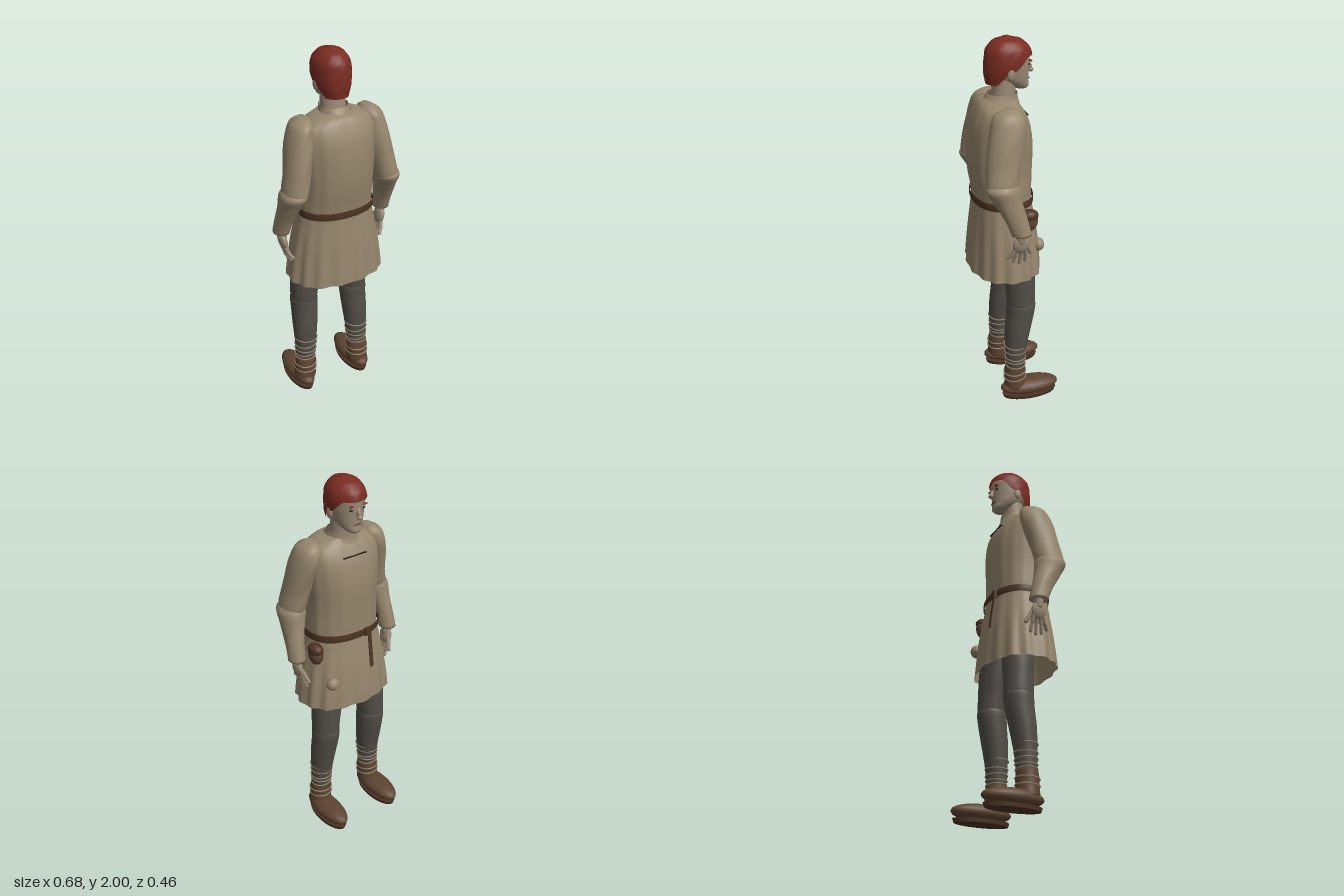
import * as THREE from 'three';

const { lerp, smoothstep } = THREE.MathUtils;
const mat = (name, color, side = THREE.FrontSide) => {
  const m = new THREE.MeshStandardMaterial({ color, side });
  m.name = name;
  return m;
};

// Closed-around surface from fn(angle, t) -> [x, y, z], t running upwards
function surface(fn, nu, nv, capBottom = false, capTop = false) {
  const pos = [], idx = [];
  for (let j = 0; j <= nv; j++)
    for (let i = 0; i < nu; i++) pos.push(...fn((i / nu) * Math.PI * 2, j / nv));
  for (let j = 0; j < nv; j++)
    for (let i = 0; i < nu; i++) {
      const k = (i + 1) % nu, a = j * nu + i, b = j * nu + k;
      idx.push(a, a + nu, b, b, a + nu, b + nu);
    }
  const cap = (row, up) => {
    const c = [0, 0, 0];
    for (let i = 0; i < nu; i++)
      for (let d = 0; d < 3; d++) c[d] += pos[(row * nu + i) * 3 + d] / nu;
    const n = pos.length / 3;
    pos.push(...c);
    for (let i = 0; i < nu; i++) {
      const a = row * nu + i, b = row * nu + ((i + 1) % nu);
      if (up) idx.push(n, b, a); else idx.push(n, a, b);
    }
  };
  if (capBottom) cap(0, false);
  if (capTop) cap(nv, true);
  const g = new THREE.BufferGeometry();
  g.setAttribute('position', new THREE.Float32BufferAttribute(pos, 3));
  g.setIndex(idx);
  g.computeVertexNormals();
  return g;
}

// Smooth interpolation through rings [y, cx, cz, rx, rz]
function sample(rings, t) {
  const n = rings.length - 1, f = Math.min(t * n, n - 1e-6), i = Math.floor(f), u = f - i;
  const at = (k) => rings[Math.max(0, Math.min(n, k))];
  return rings[0].map((_, d) => {
    const a = at(i - 1)[d], b = at(i)[d], c = at(i + 1)[d], e = at(i + 2)[d];
    return b + 0.5 * u * (c - a + u * (2 * a - 5 * b + 4 * c - e + u * (3 * (b - c) + e - a)));
  });
}
const pw = (v, n) => Math.sign(v) * Math.abs(v) ** (2 / n);

function loft(rings, { n = 2, nu = 32, steps = 5, caps = [true, true], scale = () => 1 } = {}) {
  return surface((a, t) => {
    const [y, cx, cz, rx, rz] = sample(rings, t), s = scale(a, y);
    return [cx + rx * s * pw(Math.cos(a), n), y, cz + rz * s * pw(Math.sin(a), n)];
  }, nu, (rings.length - 1) * steps, ...caps);
}

export function createModel() {
  const root = new THREE.Group();
  root.name = 'tunicFigure';
  const cloth = mat('tunic cloth', 0x95856c, THREE.DoubleSide);
  const skin = mat('skin', 0x9a8a76);
  const hairM = mat('red hair', 0x7a2c21, THREE.DoubleSide);
  const wool = mat('grey wool', 0x524e48);
  const shoeM = mat('brown leather', 0x5e4431);
  const beltM = mat('dark leather', 0x4c3323, THREE.DoubleSide);
  const cord = mat('pale cord', 0x8f7f6a);
  const dark = mat('dark detail', 0x2b2420);

  const add = (name, geo, m, parent = root) => {
    const mesh = new THREE.Mesh(geo, m);
    mesh.name = name;
    parent.add(mesh);
    return mesh;
  };
  const ball = (name, m, c, r, parent = root) => {
    const b = add(name, new THREE.SphereGeometry(1, 24, 16), m, parent);
    b.position.set(...c);
    b.scale.set(...r);
    return b;
  };
  const rod = (name, m, p, q, r, parent = root) => {
    const a = new THREE.Vector3(...p), d = new THREE.Vector3(...q).sub(a), len = d.length();
    const c = add(name, new THREE.CapsuleGeometry(r, len, 5, 10), m, parent);
    c.position.copy(a).addScaledVector(d, 0.5);
    c.quaternion.setFromUnitVectors(new THREE.Vector3(0, 1, 0), d.normalize());
    return c;
  };

  // Tunic with pleated skirt
  const pleats = (a, y) => {
    const k = 1 - smoothstep(y, 0.8, 1.15);
    return 1 + (0.006 + 0.018 * k) * Math.sin(15 * a + 0.6) + (0.004 + 0.008 * k) * Math.sin(8 * a + y * 3);
  };
  add('tunic', loft([
    [0.77, 0, 0.035, 0.262, 0.187], [0.87, 0, 0.034, 0.25, 0.18], [1.0, 0, 0.035, 0.23, 0.168],
    [1.16, 0, 0.04, 0.198, 0.148], [1.22, 0, 0.043, 0.195, 0.15], [1.33, 0, 0.05, 0.193, 0.16],
    [1.46, 0, 0.05, 0.2, 0.162], [1.57, 0, 0.052, 0.205, 0.148], [1.64, 0, 0.055, 0.195, 0.12],
    [1.68, 0, 0.055, 0.135, 0.095], [1.695, 0, 0.04, 0.08, 0.08],
  ], { n: 2.3, nu: 120, caps: [false, false], scale: pleats }), cloth);
  add('collar', loft([[1.665, 0, 0.045, 0.105, 0.1], [1.69, 0, 0.04, 0.082, 0.088], [1.72, 0, 0.03, 0.073, 0.075]],
    { nu: 40, caps: [false, false] }), cloth);
  add('neckSlit', new THREE.BoxGeometry(0.14, 0.005, 0.009), dark).position.set(0, 1.61, -0.081);
  ball('skirtKnob', cloth, [0.165, 0.93, -0.115], [0.035, 0.035, 0.03]);

  // Belt, hanging strap and pouch
  add('belt', loft([[1.155, 0, 0.04, 0.207, 0.157], [1.175, 0, 0.04, 0.209, 0.159], [1.195, 0, 0.04, 0.205, 0.157]],
    { n: 2.3, nu: 64, steps: 2, caps: [false, false] }), beltM);
  add('buckle', new THREE.BoxGeometry(0.035, 0.045, 0.012), beltM).position.set(-0.055, 1.175, -0.118);
  const strap = rod('beltEnd', beltM, [-0.065, 1.17, -0.122], [-0.065, 0.98, -0.146], 0.012);
  strap.scale.z = 0.35;
  ball('pouch', shoeM, [0.22, 1.1, -0.045], [0.036, 0.058, 0.046]);
  ball('pouchFlap', beltM, [0.222, 1.13, -0.046], [0.037, 0.033, 0.047]);

  // Neck and head, facing -z
  const head = new THREE.Group();
  head.name = 'head';
  root.add(head);
  add('neck', loft([[1.64, 0, 0.035, 0.07, 0.065], [1.72, 0, 0.025, 0.064, 0.06], [1.81, 0, 0.015, 0.062, 0.06]]), skin, head);
  add('face', loft([
    [1.732, 0, -0.07, 0.016, 0.02], [1.745, 0, -0.058, 0.04, 0.046], [1.78, 0, -0.025, 0.065, 0.077],
    [1.82, 0, -0.005, 0.078, 0.099], [1.87, 0, 0, 0.086, 0.107], [1.92, 0, 0, 0.086, 0.105],
    [1.965, 0, 0, 0.06, 0.075], [1.985, 0, 0, 0.02, 0.025],
  ]), skin, head);
  const nose = ball('nose', skin, [0, 1.84, -0.109], [0.011, 0.032, 0.014], head);
  nose.rotation.x = 0.3;
  ball('noseTip', skin, [0, 1.823, -0.115], [0.014, 0.011, 0.016], head);
  ball('mouth', shoeM, [0, 1.783, -0.1], [0.024, 0.005, 0.008], head);
  ball('chin', skin, [0, 1.752, -0.088], [0.024, 0.016, 0.016], head);
  for (const s of [1, -1]) {
    ball('eye', dark, [s * 0.035, 1.86, -0.096], [0.013, 0.006, 0.006], head);
    const brow = ball('eyebrow', hairM, [s * 0.036, 1.88, -0.1], [0.02, 0.005, 0.007], head);
    brow.rotation.y = s * 0.35;
    ball('ear', skin, [s * 0.087, 1.83, 0.01], [0.011, 0.033, 0.02], head);
  }

  // Hair: a cap with its lower edge short at the fringe and long at the nape
  const hairRings = [
    [1.77, 0, 0.038, 0.072, 0.078], [1.82, 0, 0.014, 0.09, 0.11], [1.88, 0, 0.002, 0.097, 0.121],
    [1.94, 0, 0.002, 0.089, 0.112], [1.98, 0, 0.005, 0.06, 0.075], [2.0, 0, 0.01, 0.014, 0.018],
  ];
  const hairAt = (y) => {
    let i = 0;
    while (i < hairRings.length - 2 && y > hairRings[i + 1][0]) i++;
    const u = (y - hairRings[i][0]) / (hairRings[i + 1][0] - hairRings[i][0]);
    return sample(hairRings, (i + u) / (hairRings.length - 1));
  };
  add('hair', surface((a, t) => {
    const f = -Math.sin(a);
    const edge = f > 0 ? lerp(1.84, 1.905, smoothstep(f, 0.1, 0.75)) : lerp(1.84, 1.77, smoothstep(-f, 0, 0.5));
    const y = lerp(edge, 2, 1 - (1 - t) ** 1.6);
    const [, , cz, rx, rz] = hairAt(y);
    const s = 1 + 0.013 * Math.sin(9 * a + y * 40) * Math.sin(y * 55 + 2 * a);
    return [rx * s * Math.cos(a), y, cz + rz * s * Math.sin(a)];
  }, 64, 24, false, true), hairM, head);

  for (const s of [1, -1]) {
    const mirror = (rings) => rings.map(([y, cx, cz, rx, rz]) => [y, s * cx, cz, rx, rz]);
    const side = s > 0 ? 'left' : 'right';
    const arm = new THREE.Group(), leg = new THREE.Group();
    arm.name = side + 'Arm';
    leg.name = side + 'Leg';
    root.add(arm, leg);

    // Sleeves
    const crease = (a, y) => 1 + 0.018 * Math.sin(5 * a + y * 30);
    add('upperSleeve', loft(mirror([
      [1.29, 0.258, 0.11, 0.055, 0.07], [1.33, 0.255, 0.108, 0.066, 0.082], [1.42, 0.237, 0.095, 0.066, 0.086],
      [1.52, 0.218, 0.075, 0.069, 0.092], [1.6, 0.202, 0.058, 0.066, 0.092], [1.66, 0.187, 0.052, 0.056, 0.076],
      [1.69, 0.178, 0.048, 0.022, 0.035],
    ]), { scale: crease }), cloth, arm);
    add('lowerSleeve', loft(mirror([
      [1.065, 0.295, 0.018, 0.044, 0.05], [1.15, 0.288, 0.045, 0.047, 0.058], [1.25, 0.273, 0.085, 0.06, 0.074],
      [1.31, 0.264, 0.108, 0.071, 0.086], [1.34, 0.26, 0.108, 0.058, 0.07],
    ]), { scale: crease }), cloth, arm);

    // Hand with spread fingers
    rod('wrist', skin, [s * 0.297, 1.08, 0.018], [s * 0.292, 1.03, 0.018], 0.026, arm);
    const palm = ball('palm', skin, [s * 0.289, 1.005, 0.02], [0.021, 0.05, 0.042], arm);
    palm.rotation.z = -s * 0.2;
    [[0.045, 0.08, 0.925], [0.03, 0.05, 0.9], [0.012, 0.018, 0.89], [-0.006, -0.012, 0.9]].forEach(([z0, z1, y]) => {
      rod('finger', skin, [s * 0.287, 0.985, z0], [s * 0.275, 0.945, (z0 + z1) / 2], 0.0105, arm);
      rod('fingertip', skin, [s * 0.275, 0.945, (z0 + z1) / 2], [s * 0.26, y, z1], 0.009, arm);
    });
    rod('thumb', skin, [s * 0.285, 1.01, -0.008], [s * 0.265, 0.945, -0.04], 0.011, arm);

    // Trouser legs
    add('thigh', loft(mirror([
      [0.575, 0.152, -0.025, 0.069, 0.072], [0.6, 0.152, -0.025, 0.073, 0.077], [0.68, 0.146, -0.023, 0.079, 0.079],
      [0.78, 0.136, -0.02, 0.088, 0.082], [0.98, 0.115, 0, 0.095, 0.095],
    ])), wool, leg);
    add('shin', loft(mirror([
      [0.17, 0.166, 0.01, 0.053, 0.049], [0.3, 0.161, 0.006, 0.06, 0.058], [0.42, 0.157, -0.006, 0.069, 0.07],
      [0.52, 0.153, -0.021, 0.073, 0.076], [0.58, 0.152, -0.026, 0.075, 0.078], [0.6, 0.152, -0.025, 0.066, 0.068],
    ])), wool, leg);

    // Leg cords
    [0.205, 0.23, 0.255, 0.29, 0.33].forEach((y, i) => {
      const r = 0.056 + (y - 0.2) * 0.05;
      const ring = add('legCord', new THREE.TorusGeometry(r, 0.0035, 6, 36), cord, leg);
      ring.position.set(s * (0.165 - (y - 0.2) * 0.04), y, 0.008);
      ring.rotation.set(Math.PI / 2, (i % 2 ? 1 : -1) * 0.06, 0);
      ring.scale.y = 0.96;
    });

    // Shoe with ankle wrap and sole
    add('ankleWrap', loft(mirror([
      [0.07, 0.17, 0.01, 0.062, 0.062], [0.12, 0.168, 0.012, 0.06, 0.058], [0.16, 0.166, 0.012, 0.06, 0.058],
      [0.2, 0.166, 0.01, 0.057, 0.054],
    ])), shoeM, leg);
    for (const y of [0.125, 0.16]) {
      const band = add('ankleCord', new THREE.TorusGeometry(0.06, 0.004, 6, 36), cord, leg);
      band.position.set(s * 0.167, y, 0.012);
      band.rotation.x = Math.PI / 2 + 0.06;
    }
    ball('shoe', shoeM, [s * 0.175, 0.058, -0.07], [0.069, 0.046, 0.165], leg);
    const sole = add('sole', new THREE.CylinderGeometry(1, 0.95, 0.02, 40), beltM, leg);
    sole.position.set(s * 0.175, 0.01, -0.07);
    sole.scale.set(0.064, 1, 0.155);
  }
  return root;
}
